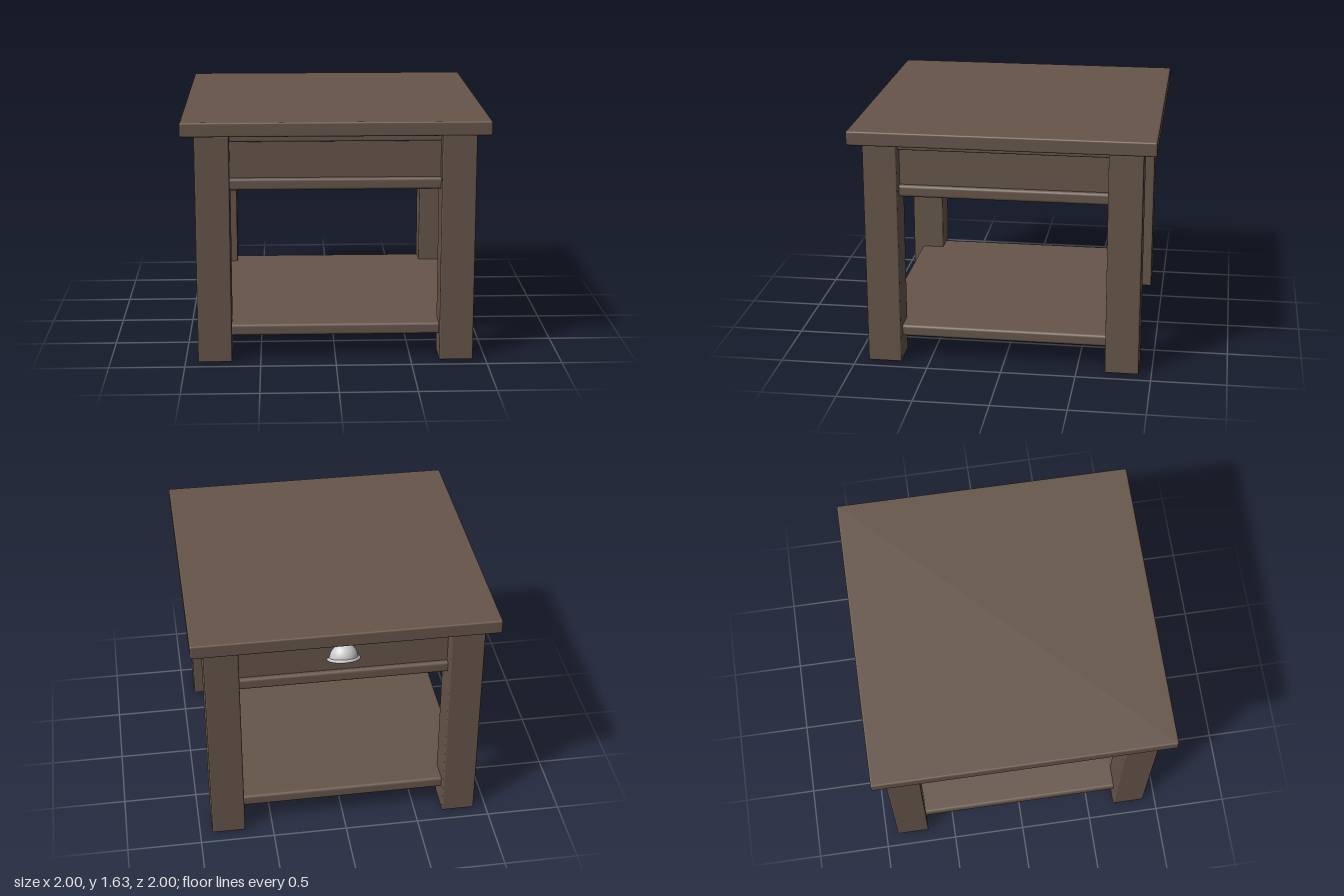
import * as THREE from 'three';
import { RoundedBoxGeometry } from 'three/addons/geometries/RoundedBoxGeometry.js';

const wood = new THREE.MeshStandardMaterial({ color: 0x66554a });
const metal = new THREE.MeshStandardMaterial({ color: 0xcccccc, side: THREE.DoubleSide });

// Square board of the given half width between two heights, with rounded edges
function board(name, half, y0, y1, radius) {
  const mesh = new THREE.Mesh(new RoundedBoxGeometry(half * 2, y1 - y0, half * 2, 4, radius), wood);
  mesh.name = name;
  mesh.position.y = (y0 + y1) / 2;
  return mesh;
}

// Cup pull: quarter dome open below, with a flared rim that rises at the middle
function cupPull() {
  const group = new THREE.Group();
  group.name = 'cupPull';

  const lift = 0.035;
  const dome = new THREE.SphereGeometry(1, 28, 12, Math.PI, Math.PI, 0, Math.PI / 2);
  const p = dome.attributes.position;
  for (let i = 0; i < p.count; i++) {
    const x = p.getX(i), y = p.getY(i), z = p.getZ(i);
    p.setXYZ(i, x * 0.095, y * 0.12 - lift * z * (1 - y), z * 0.085);
  }
  dome.computeVertexNormals();
  const shell = new THREE.Mesh(dome, metal);
  shell.name = 'cupShell';

  const points = [];
  for (let i = 0; i <= 24; i++) {
    const a = (i / 24) * Math.PI;
    points.push(new THREE.Vector3(Math.cos(a) * 0.1, lift * Math.sin(a), -Math.sin(a) * 0.09));
  }
  const rim = new THREE.Mesh(
    new THREE.TubeGeometry(new THREE.CatmullRomCurve3(points), 32, 0.011, 8), metal);
  rim.name = 'cupRim';

  group.add(shell, rim);
  group.position.set(0, 1.322, -0.82);
  return group;
}

export function createModel() {
  const table = new THREE.Group();
  table.name = 'sideTable';

  // Horizontal layers, top to bottom
  table.add(
    board('tableTop', 1, 1.54, 1.635, 0.012),
    board('upperRail', 0.86, 1.48, 1.54, 0.012),
    board('drawerBox', 0.82, 1.23, 1.485, 0.003),
    board('lowerRail', 0.85, 1.155, 1.235, 0.02),
    board('shelf', 0.85, 0.16, 0.24, 0.02)
  );

  // Four square legs
  for (const x of [-1, 1]) {
    for (const z of [-1, 1]) {
      const leg = board('leg', 0.1125, 0, 1.532, 0.01);
      leg.position.x = x * 0.8025;
      leg.position.z = z * 0.8025;
      table.add(leg);
    }
  }

  table.add(cupPull());
  return table;
}
